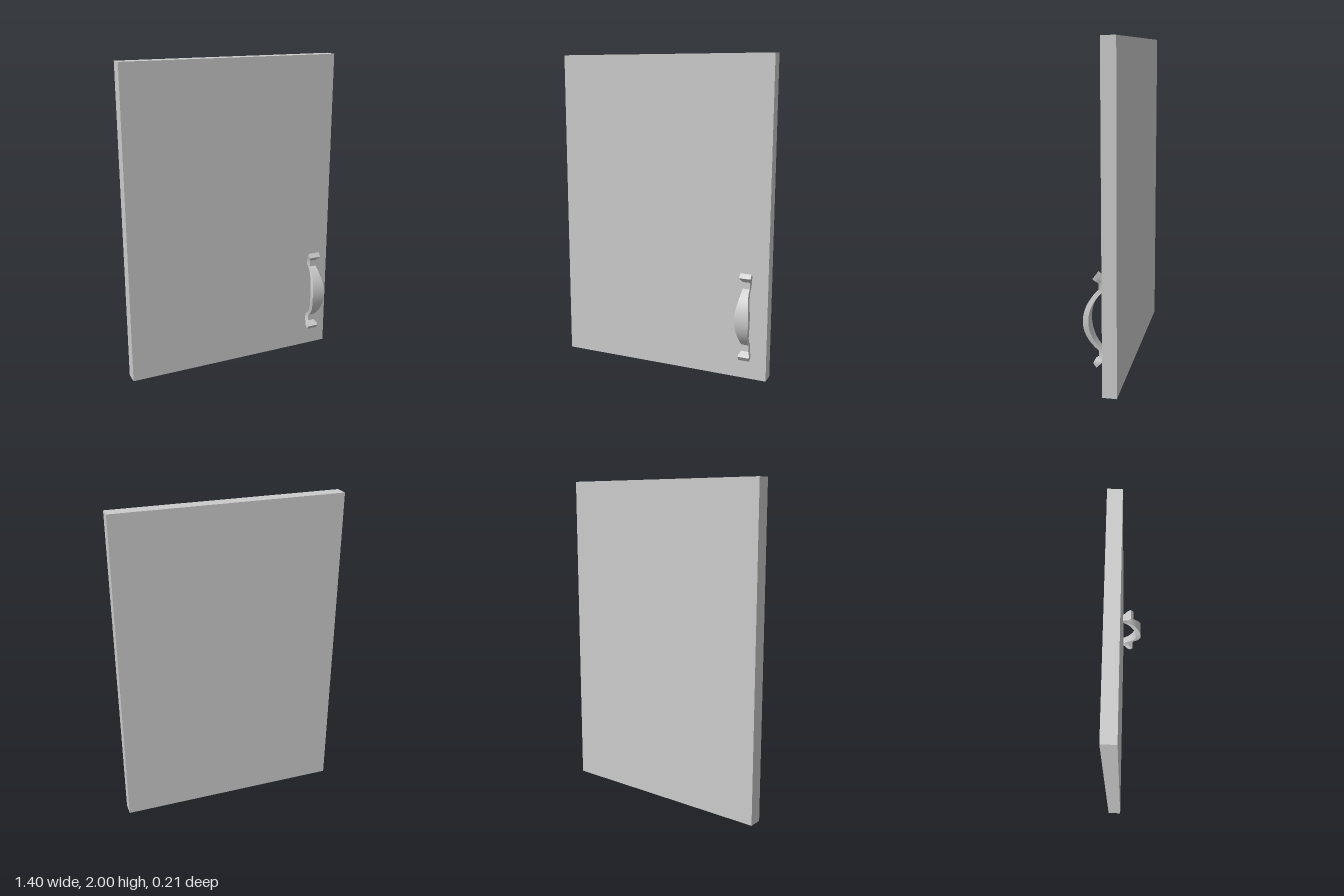
import * as THREE from 'three';
import { toCreasedNormals } from 'three/addons/utils/BufferGeometryUtils.js';

const material = new THREE.MeshStandardMaterial({ color: 0xcccccc });

// Half of the pull, from its middle to one tip.
// Each station: [outer y, outer z, inner y, inner z, half width]
function halfStations() {
  const stations = [];
  const steps = 14;
  for (let i = 0; i <= steps; i++) {
    const t = i / steps;
    const a = 0.918 * t, b = 0.949 * t;
    const width = 0.0225 + 0.0225 * (0.5 + 0.5 * Math.cos(Math.PI * t));
    stations.push([
      0.2266 * Math.sin(a), 0.107 - 0.2266 * (1 - Math.cos(a)),
      0.2276 * Math.sin(b), 0.075 - 0.2276 * (1 - Math.cos(b)), width,
    ]);
  }
  // flat foot against the panel, then the flared tip
  stations.push([0.222, 0.018, 0.22, -0.022, 0.023]);
  stations.push([0.232, 0.027, 0.238, -0.008, 0.028]);
  stations.push([0.243, 0.041, 0.258, 0.01, 0.036]);
  stations.push([0.252, 0.051, 0.279, 0.032, 0.036]);
  return stations;
}

// Loft of rectangular sections with closed ends
function handleGeometry() {
  const half = halfStations();
  const mirrored = half.slice(1).reverse().map(([oy, oz, iy, iz, w]) => [-oy, oz, -iy, iz, w]);
  const rings = [...mirrored, ...half];
  const positions = [], index = [];
  for (const [oy, oz, iy, iz, w] of rings) {
    positions.push(-w, oy, oz, w, oy, oz, w, iy, iz, -w, iy, iz);
  }
  for (let r = 0; r < rings.length - 1; r++) {
    for (let k = 0; k < 4; k++) {
      const a = r * 4 + k, b = r * 4 + (k + 1) % 4;
      index.push(a, b, b + 4, a, b + 4, a + 4);
    }
  }
  const e = (rings.length - 1) * 4;
  index.push(0, 3, 2, 0, 2, 1, e, e + 1, e + 2, e, e + 2, e + 3);
  const geometry = new THREE.BufferGeometry();
  geometry.setAttribute('position', new THREE.Float32BufferAttribute(positions, 3));
  geometry.setIndex(index);
  return toCreasedNormals(geometry, 0.5);
}

export function createModel() {
  const group = new THREE.Group();
  group.name = 'cabinetDoor';

  // Plain slab door
  const panel = new THREE.Mesh(new THREE.BoxGeometry(1.404, 2, 0.085), material);
  panel.name = 'doorPanel';
  panel.position.set(0, 1, -0.0645);
  group.add(panel);

  // Bowed pull near the lower corner
  const handle = new THREE.Mesh(handleGeometry(), material);
  handle.name = 'handle';
  handle.position.set(0.575, 0.416, 0);
  group.add(handle);

  return group;
}
